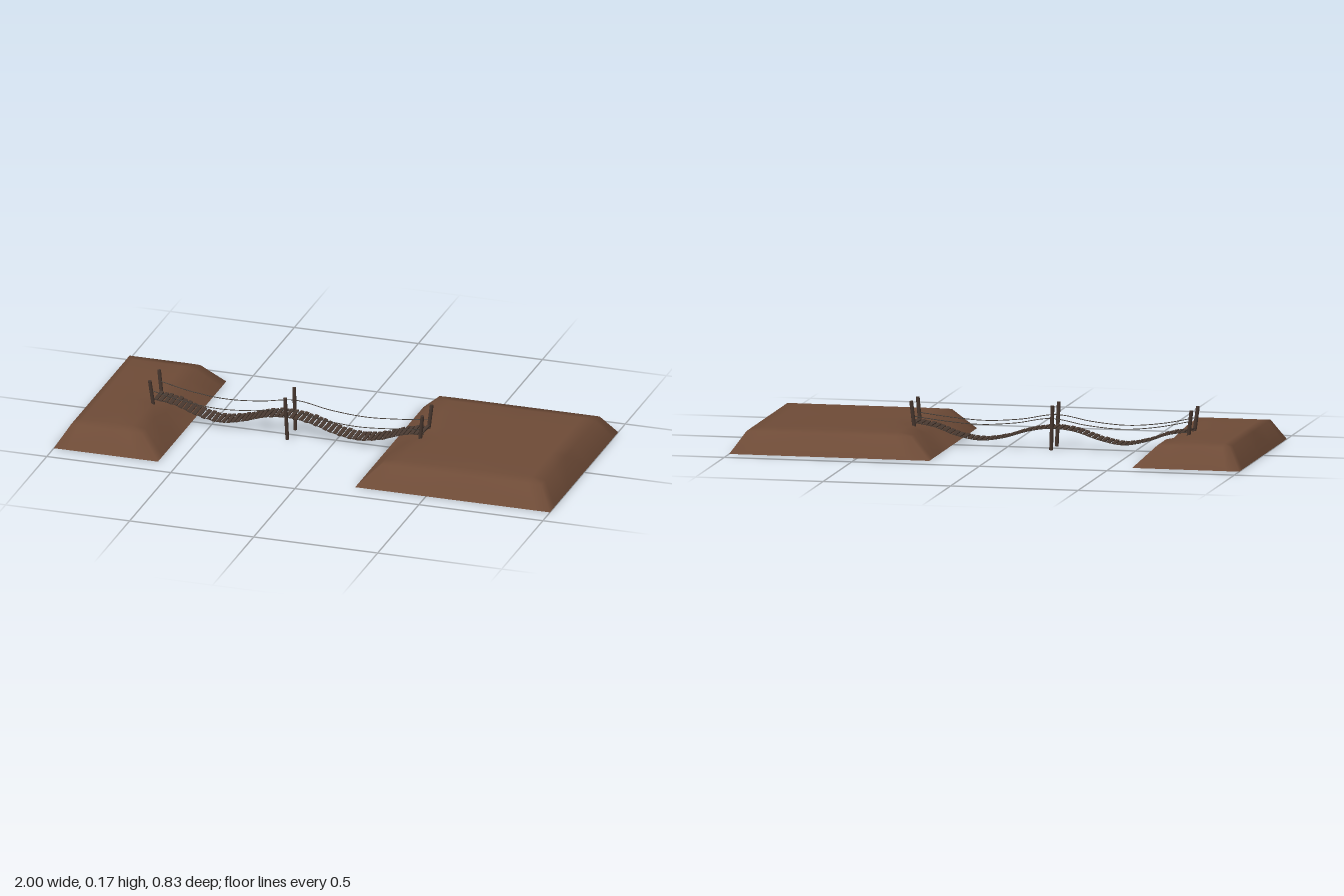
import * as THREE from 'three';

const mat = (name, color, side = THREE.FrontSide) => {
  const m = new THREE.MeshStandardMaterial({ color, side });
  m.name = name;
  return m;
};

// Earth bank: a bevelled slab with a hollow where the bridge lands.
// xs, hx: stations and heights along x; dip: how far each station sinks at the bridge.
function bank(name, xs, hx, dip, material) {
  const zs = [-0.415, -0.355, -0.305, -0.2, -0.055, 0.055, 0.2, 0.305, 0.355, 0.415];
  const hz = [0, 0.082, 0.09, 0.09, 0.09, 0.09, 0.09, 0.09, 0.082, 0];
  const pos = [], index = [];
  const nz = zs.length, nx = xs.length;
  xs.forEach((x, i) => zs.forEach((z, j) => {
    const sink = Math.abs(z) < 0.1 ? dip[i] : 0;
    pos.push(x, Math.min(hx[i], hz[j]) - sink, z);
  }));
  for (let i = 0; i < nx - 1; i++) {
    for (let j = 0; j < nz - 1; j++) {
      const a = i * nz + j, b = a + 1, c = a + nz, d = c + 1;
      // diagonals follow the sloping corner ridges
      const sameSide = (i < (nx - 1) / 2) === (j < (nz - 1) / 2);
      if (sameSide) index.push(a, b, d, a, d, c);
      else index.push(a, b, c, b, d, c);
    }
  }
  const geo = new THREE.BufferGeometry();
  geo.setAttribute('position', new THREE.Float32BufferAttribute(pos, 3));
  geo.setIndex(index);
  geo.computeVertexNormals();
  const group = new THREE.Group();
  group.name = name;
  const top = new THREE.Mesh(geo, material);
  top.name = name + 'Surface';
  // flat underside
  const width = xs[nx - 1] - xs[0];
  const base = new THREE.Mesh(new THREE.PlaneGeometry(width, 0.83), material);
  base.rotation.x = Math.PI / 2;
  base.position.x = xs[0] + width / 2;
  base.name = name + 'Underside';
  group.add(top, base);
  return group;
}

// Straight round post between two points
function post(name, from, to, material) {
  const a = new THREE.Vector3(...from), b = new THREE.Vector3(...to);
  const dir = b.clone().sub(a);
  const mesh = new THREE.Mesh(new THREE.CylinderGeometry(0.0075, 0.0075, dir.length(), 8), material);
  mesh.position.copy(a).add(b).multiplyScalar(0.5);
  mesh.quaternion.setFromUnitVectors(new THREE.Vector3(0, 1, 0), dir.normalize());
  mesh.name = name;
  return mesh;
}

const curveAt = (points, z) =>
  new THREE.CatmullRomCurve3(points.map(([x, y]) => new THREE.Vector3(x, y, z)));

function rope(name, points, z, material) {
  const mesh = new THREE.Mesh(new THREE.TubeGeometry(curveAt(points, z), 64, 0.0017, 5), material);
  mesh.name = name;
  return mesh;
}

export function createModel() {
  const model = new THREE.Group();
  model.name = 'ropeBridge';
  const earth = mat('earth brown', 0x6e4b37);
  const wood = mat('dark post wood', 0x46362e);
  const plankWood = mat('plank wood', 0x4b3b32);
  const ropeMat = mat('rope', 0x4a433d);

  // Banks
  model.add(
    bank('smallBank', [-1, -0.95, -0.92, -0.79, -0.72, -0.665, -0.58],
      [0, 0.082, 0.09, 0.09, 0.089, 0.081, 0], [0, 0, 0, 0, 0.012, 0.03, 0], earth),
    bank('largeBank', [0.215, 0.3, 0.36, 0.44, 0.65, 0.89, 0.945, 1],
      [0, 0.081, 0.089, 0.09, 0.09, 0.09, 0.082, 0], [0, 0.03, 0.012, 0, 0, 0, 0, 0], earth));

  // Walkway and handrail lines, two sagging spans each
  const deckLine = [[-0.725, 0.09], [-0.64, 0.077], [-0.55, 0.046], [-0.46, 0.03], [-0.37, 0.045],
    [-0.27, 0.076], [-0.18, 0.085], [-0.09, 0.072], [0.01, 0.042], [0.1, 0.03], [0.19, 0.044],
    [0.28, 0.075], [0.365, 0.09]];
  const railLine = [[-0.73, 0.13], [-0.6, 0.103], [-0.46, 0.09], [-0.32, 0.1], [-0.18, 0.122],
    [-0.04, 0.1], [0.1, 0.09], [0.23, 0.098], [0.362, 0.113]];

  // Planks, with a little irregularity
  const deck = new THREE.Group();
  deck.name = 'deck';
  const curve = curveAt(deckLine, -0.004);
  const count = 56;
  const plankGeo = new THREE.BoxGeometry(0.0145, 0.005, 0.082);
  for (let i = 0; i < count; i++) {
    const u = (i + 0.5) / count;
    const t = curve.getTangentAt(u);
    const plank = new THREE.Mesh(plankGeo, plankWood);
    plank.position.copy(curve.getPointAt(u));
    plank.position.z += 0.003 * Math.sin(i * 2.7);
    plank.rotation.set(0, 0.03 * Math.sin(i * 4.3), Math.atan2(t.y, t.x));
    plank.name = 'plank' + (i + 1);
    deck.add(plank);
  }
  model.add(deck);

  // Posts and ropes on both sides
  for (const [side, s] of [['front', 1], ['back', -1]]) {
    model.add(
      post(side + 'SmallBankPost', [-0.718, 0.06, s * 0.05], [-0.732, 0.172, s * 0.057], wood),
      post(side + 'MiddlePost', [-0.18, 0, s * 0.049], [-0.187, 0.172, s * 0.055], wood),
      post(side + 'LargeBankPost', [0.355, 0.06, s * 0.05], [0.367, 0.172, s * 0.057], wood),
      rope(side + 'HandRope', railLine, s * 0.05, ropeMat),
      rope(side + 'DeckRope', deckLine.map(([x, y]) => [x, y - 0.003]), s * 0.034 - 0.004, ropeMat));
  }
  return model;
}
